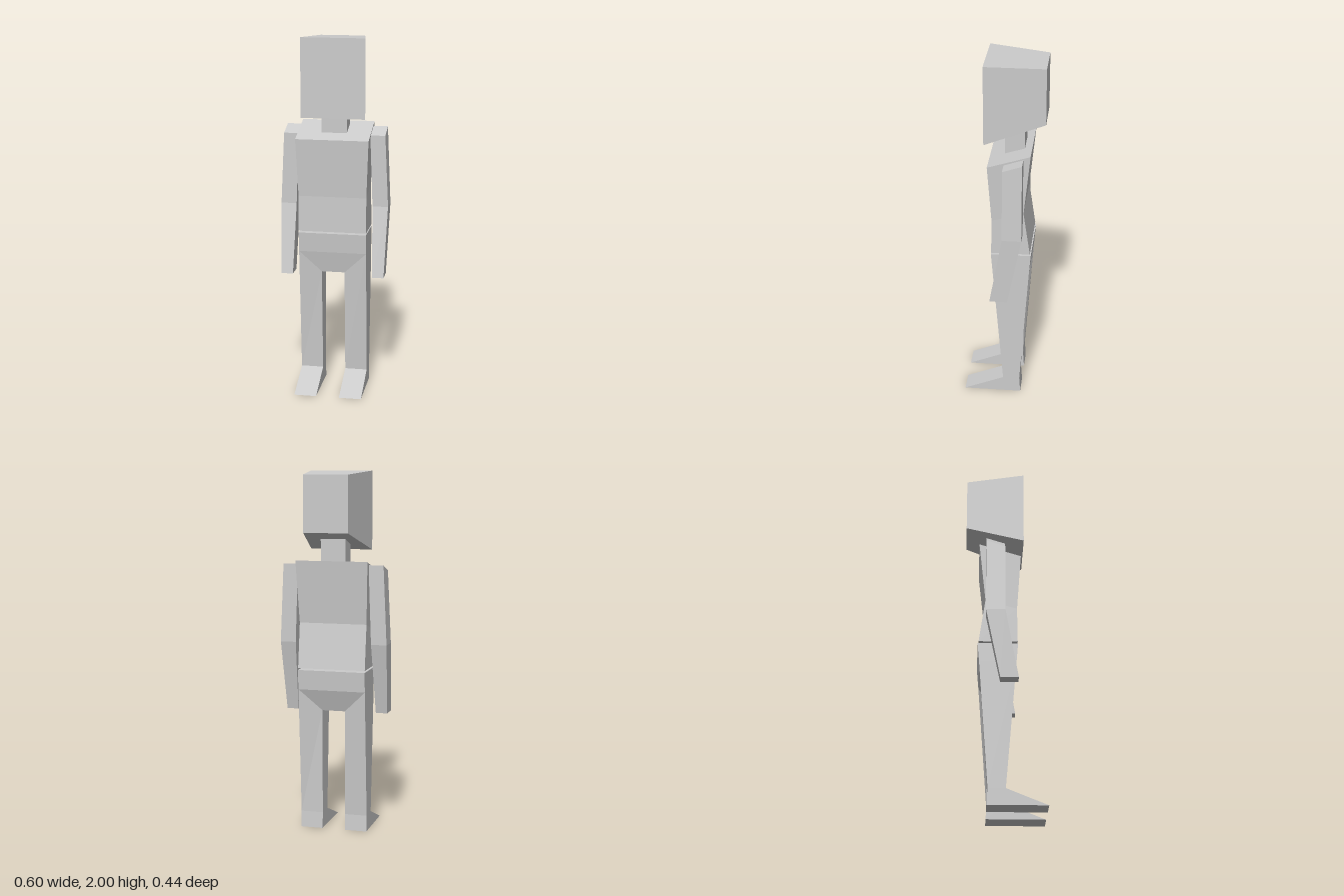
import * as THREE from 'three';

const material = new THREE.MeshStandardMaterial({ color: 0xcccccc, flatShading: true });

// Four corners seen from above: front +x, back +x, back -x, front -x
const rect = (x0, x1, zBack, zFront, yBack, yFront = yBack) => [
  [x1, yFront, zFront], [x1, yBack, zBack], [x0, yBack, zBack], [x0, yFront, zFront],
];

// Flip sections across x; reversing the corners keeps the faces outward
const mirror = (sections) => sections.map((s) => s.map(([x, y, z]) => [-x, y, z]).reverse());

// Join four-cornered sections from top to bottom, leaving out hidden faces
function loft(name, sections, { capTop = true, hidden = () => false } = {}) {
  const pos = [];
  const quad = (a, b, c, d) => pos.push(...a, ...b, ...c, ...a, ...c, ...d);
  for (let i = 0; i < sections.length - 1; i++) {
    const up = sections[i], low = sections[i + 1];
    for (let k = 0; k < 4; k++) {
      const n = (k + 1) % 4;
      if (!hidden(i, k)) quad(low[k], low[n], up[n], up[k]);
    }
  }
  if (capTop) quad(...sections[0]);
  quad(...[...sections[sections.length - 1]].reverse());
  const geometry = new THREE.BufferGeometry();
  geometry.setAttribute('position', new THREE.Float32BufferAttribute(pos, 3));
  geometry.computeVertexNormals();
  const mesh = new THREE.Mesh(geometry, material);
  mesh.name = name;
  return mesh;
}

export function createModel() {
  const figure = new THREE.Group();
  figure.name = 'figure';

  // Head: tapers towards the back, chin lower than the nape
  const headSection = (yBack, yFront) => [
    [0.187, yFront, 0.103], [0.135, yBack, -0.222], [-0.115, yBack, -0.222], [-0.167, yFront, 0.103],
  ];
  figure.add(loft('head', [headSection(1.98, 2.0), headSection(1.67, 1.565)]));

  // Neck
  figure.add(loft('neck', [
    rect(-0.07, 0.07, -0.107, 0, 1.635, 1.6),
    rect(-0.07, 0.07, -0.107, 0, 1.5, 1.466),
  ]));

  // Torso: sloped shoulders and a narrower waist
  figure.add(loft('torso', [
    rect(-0.203, 0.203, -0.148, 0.084, 1.515, 1.443),
    rect(-0.19, 0.19, -0.112, 0.062, 1.17, 1.12),
    rect(-0.19, 0.19, -0.148, 0.065, 0.92),
  ]));

  // Hips: narrow to the crotch between the legs
  figure.add(loft('hips', [
    rect(-0.19, 0.19, -0.153, 0.067, 0.91),
    rect(-0.19, 0.19, -0.144, 0.058, 0.8),
    rect(-0.065, 0.065, -0.1, 0.035, 0.68),
  ], { hidden: (ring, side) => ring === 1 && side % 2 === 0 }));

  // Leg with slanted top, ending in a wedge foot
  const leg = [
    [[0.19, 0.8, 0.058], [0.19, 0.8, -0.144], [0.065, 0.68, -0.1], [0.065, 0.68, 0.035]],
    rect(0.065, 0.19, -0.094, 0, 0.09),
    rect(0.065, 0.19, -0.1, 0.222, 0),
  ];

  // Arm bent slightly forward at the elbow
  const arm = [
    rect(0.2, 0.283, -0.11, -0.005, 1.495, 1.46),
    rect(0.215, 0.302, -0.11, -0.005, 1.06),
    rect(0.225, 0.29, -0.032, 0.066, 0.667),
  ];

  for (const [side, place] of [['left', (s) => s], ['right', mirror]]) {
    figure.add(loft(side + 'Leg', place(leg), { capTop: false }));
    figure.add(loft(side + 'Arm', place(arm)));
  }
  return figure;
}
